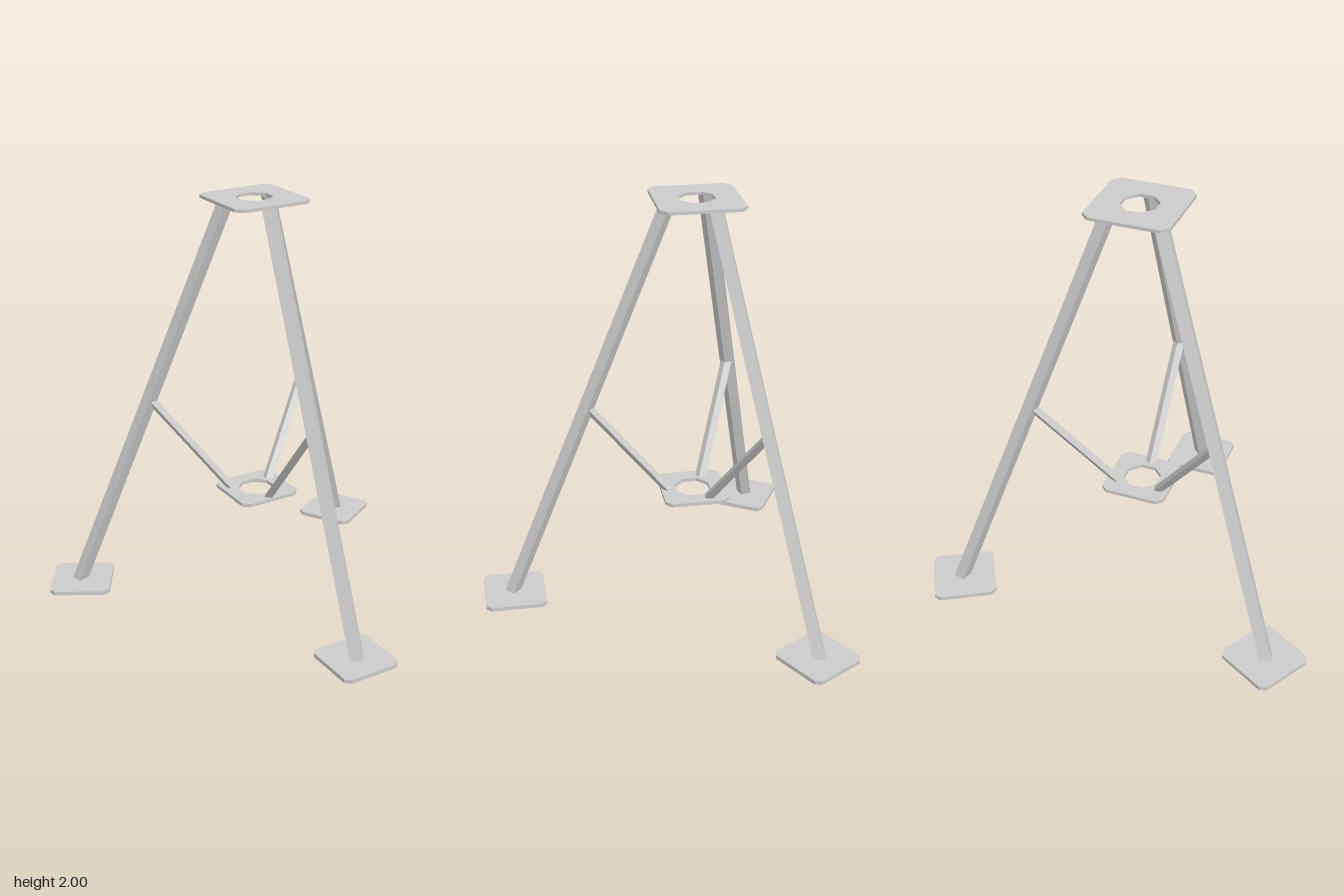
import * as THREE from 'three';

const material = new THREE.MeshStandardMaterial({ color: 0xcccccc, flatShading: true });
const CENTRE_Z = -0.205;

// Square plate with clipped corners and an optional octagonal hole, lying flat from y to y + thick
function plate(name, half, clip, y, thick, holeFlat = 0) {
  const c = half - clip;
  const corners = [[half, -c], [half, c], [c, half], [-c, half], [-half, c], [-half, -c], [-c, -half], [c, -half]];
  const shape = new THREE.Shape(corners.map(([x, z]) => new THREE.Vector2(x, z)));
  if (holeFlat) {
    const r = holeFlat / Math.cos(Math.PI / 8);
    const hole = [];
    for (let i = 0; i < 8; i++) {
      const a = -(i + 0.5) * Math.PI / 4;
      hole.push(new THREE.Vector2(r * Math.cos(a), r * Math.sin(a)));
    }
    shape.holes.push(new THREE.Path(hole));
  }
  const geometry = new THREE.ExtrudeGeometry(shape, { depth: thick, bevelEnabled: false });
  geometry.rotateX(-Math.PI / 2);
  geometry.translate(0, y, 0);
  const mesh = new THREE.Mesh(geometry, material);
  mesh.name = name;
  return mesh;
}

// Slanted four-sided bar with an edge facing outward and level ends, running from (y0, z0) to (y1, z1)
function bar(name, radius, y0, z0, y1, z1) {
  const geometry = new THREE.CylinderGeometry(radius, radius, y1 - y0, 4);
  geometry.translate(0, (y0 + y1) / 2, 0);
  const p = geometry.attributes.position;
  for (let i = 0; i < p.count; i++) {
    const t = (p.getY(i) - y0) / (y1 - y0);
    p.setZ(i, p.getZ(i) + z0 + (z1 - z0) * t);
  }
  geometry.computeVertexNormals();
  const mesh = new THREE.Mesh(geometry, material);
  mesh.name = name;
  return mesh;
}

export function createModel() {
  const model = new THREE.Group();
  model.name = 'tripodStand';

  const stand = new THREE.Group();
  stand.name = 'stand';
  stand.position.z = CENTRE_Z;
  model.add(stand);

  // Top plate and lower brace plate
  stand.add(plate('topPlate', 0.197, 0.035, 1.985, 0.015, 0.08));
  stand.add(plate('bracePlate', 0.157, 0.03, 0.508, 0.017, 0.083));

  // Three identical legs, each with a foot and a brace strut
  ['front', 'left', 'right'].forEach((side, i) => {
    const assembly = new THREE.Group();
    assembly.name = side + 'LegAssembly';
    assembly.rotation.y = i * Math.PI * 2 / 3;

    const foot = plate('foot', 0.149, 0.025, 0, 0.02);
    foot.position.z = 0.896;
    assembly.add(foot);
    assembly.add(bar('leg', 0.04, 0.015, 0.906, 1.988, 0.128));
    assembly.add(bar('strut', 0.028, 0.52, 0.12, 0.995, 0.507));
    stand.add(assembly);
  });

  return model;
}
